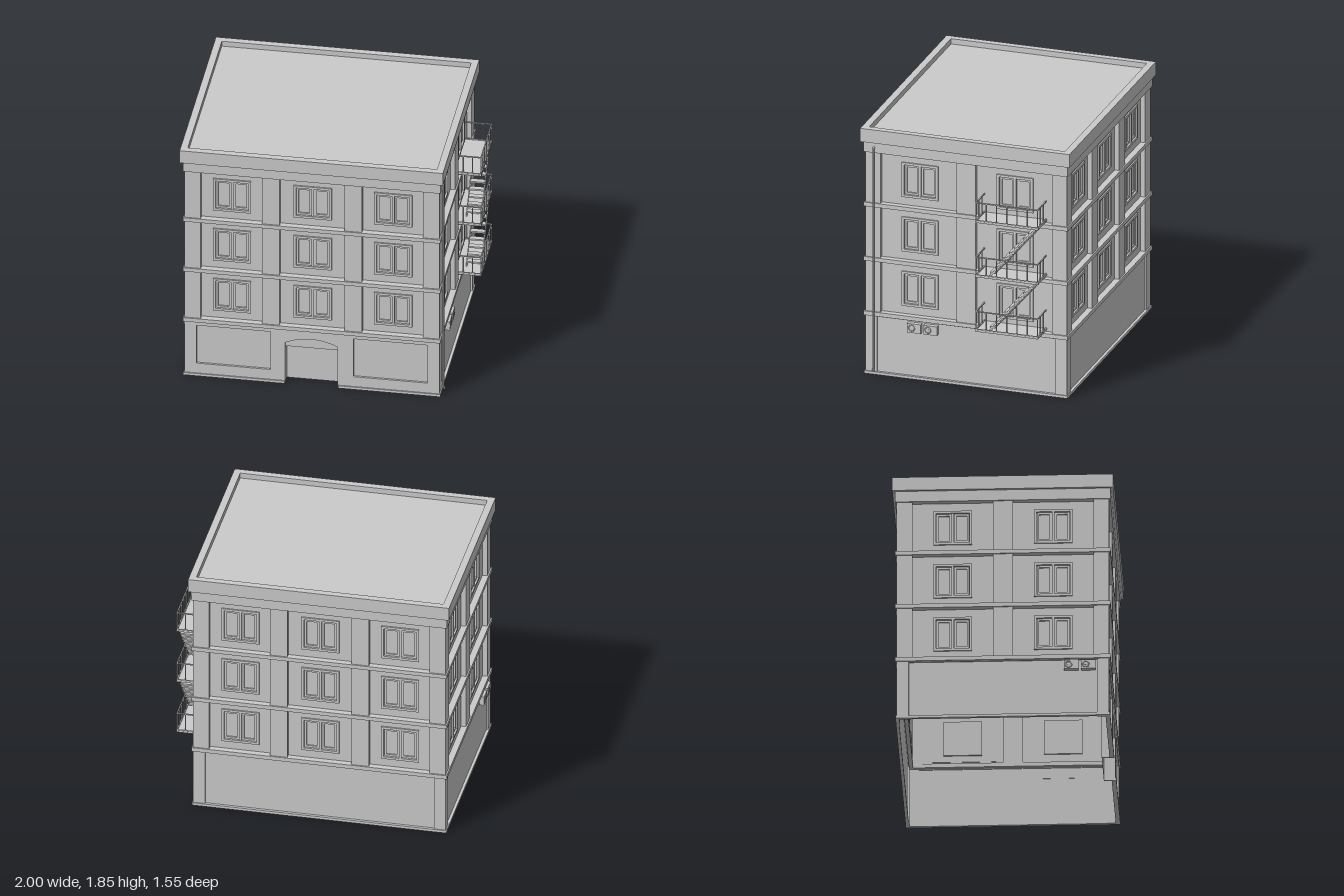
import * as THREE from 'three';

const mat = new THREE.MeshStandardMaterial({ color: 0xcccccc, flatShading: true, side: THREE.DoubleSide });
const CX = -0.065, HW = 0.905, HD = 0.745; // building centre and half sizes
const FLOORS = [0.47, 0.88, 1.29];

function add(parent, name, geo, x = 0, y = 0, z = 0) {
  const m = new THREE.Mesh(geo, mat);
  m.name = name;
  m.position.set(x, y, z);
  parent.add(m);
  return m;
}

// Box given by its two extreme corners
function block(parent, name, x0, x1, y0, y1, z0, z1) {
  return add(parent, name, new THREE.BoxGeometry(x1 - x0, y1 - y0, z1 - z0),
    (x0 + x1) / 2, (y0 + y1) / 2, (z0 + z1) / 2);
}

// Rod between two points
function rod(parent, name, a, b, t = 0.008) {
  const p = new THREE.Vector3(...a), q = new THREE.Vector3(...b);
  const m = add(parent, name, new THREE.BoxGeometry(t, t, p.distanceTo(q)));
  m.position.copy(p).add(q).multiplyScalar(0.5);
  m.lookAt(q);
  return m;
}

function trace(path, x0, x1, y0, y1) {
  path.moveTo(x0, y0); path.lineTo(x1, y0); path.lineTo(x1, y1); path.lineTo(x0, y1); path.closePath();
  return path;
}
const rect = (...r) => trace(new THREE.Shape(), ...r);
const hole = (...r) => trace(new THREE.Path(), ...r);
const extrude = (shape, depth) => new THREE.ExtrudeGeometry(shape, { depth, bevelEnabled: false, curveSegments: 12 });

// Hollow rectangular band around the building
function band(parent, name, y0, y1, out, inset) {
  const s = rect(-HW - out, HW + out, -HD - out, HD + out);
  s.holes.push(hole(-HW + inset, HW - inset, -HD + inset, HD - inset));
  add(parent, name, extrude(s, y1 - y0).rotateX(-Math.PI / 2), CX, y0, 0);
}

// Double casement window, local z = 0 is the wall face
function windowUnit(parent, x, y, w, h) {
  const g = new THREE.Group();
  g.name = 'window';
  g.position.set(x, y, 0);
  const s = rect(-w / 2 - 0.01, w / 2 + 0.01, -h / 2 - 0.01, h / 2 + 0.01);
  s.holes.push(hole(-w / 2 + 0.008, w / 2 - 0.008, -h / 2 + 0.008, h / 2 - 0.008));
  add(g, 'windowFrame', extrude(s, 0.022), 0, 0, -0.012);
  block(g, 'mullion', -0.009, 0.009, -h / 2, h / 2, -0.012, 0.008);
  for (const sx of [-1, 1]) {
    const sash = rect(-w / 4 + 0.01, w / 4 - 0.01, -h / 2 + 0.01, h / 2 - 0.01);
    sash.holes.push(hole(-w / 4 + 0.025, w / 4 - 0.025, -h / 2 + 0.025, h / 2 - 0.025));
    add(g, 'sash', extrude(sash, 0.01), sx * w / 4, 0, -0.012);
  }
  add(g, 'pane', new THREE.PlaneGeometry(w, h), 0, 0, -0.012);
  parent.add(g);
}

// One side of the upper floors: recessed wall, pilasters and windows; faces local +z
function facade(name, half, dist, angle, bays, pilasters, isFront) {
  const g = new THREE.Group();
  g.name = name;
  const zWall = dist - 0.035;
  const wall = rect(-half + 0.035, half - 0.035, 0.45, 1.67);
  for (const y of FLOORS) for (const x of bays) {
    wall.holes.push(hole(x - 0.125, x + 0.125, y + 0.07, y + 0.31));
    windowUnit(g, x, y + 0.19, 0.25, 0.24);
    g.children[g.children.length - 1].position.z = zWall;
  }
  add(g, 'upperWall', new THREE.ShapeGeometry(wall), 0, 0, zWall);
  for (const [a, b] of pilasters) block(g, 'pilaster', a, b, 0.46, 1.68, zWall - 0.01, dist);
  if (!isFront) {
    add(g, 'groundWall', new THREE.PlaneGeometry(2 * half - 0.03, 0.45), 0, 0.225, dist - 0.012);
    block(g, 'groundHeader', -half + 0.08, half - 0.08, 0.435, 0.46, dist - 0.02, dist);
  }
  g.position.x = CX;
  g.rotation.y = angle;
  return g;
}

// Outline of an arched opening
function archPath(path, x0, x1, ySide, rise) {
  path.moveTo(x0, 0); path.lineTo(x0, ySide);
  path.quadraticCurveTo((x0 + x1) / 2, ySide + 2 * rise, x1, ySide);
  path.lineTo(x1, 0);
  return path;
}

function groundFront(root) {
  const g = new THREE.Group();
  g.name = 'groundFront';
  const x0 = -0.26, x1 = 0.12, panels = [[-0.885, -0.36], [0.23, 0.755]];
  const s = archPath(new THREE.Shape(), x0, x1, 0.33, 0.045);
  s.lineTo(CX + HW, 0); s.lineTo(CX + HW, 0.46); s.lineTo(CX - HW, 0.46); s.lineTo(CX - HW, 0);
  for (const [a, b] of panels) {
    s.holes.push(hole(a, b, 0.1, 0.41));
    add(g, 'shopPanel', new THREE.PlaneGeometry(b - a, 0.31), (a + b) / 2, 0.255, HD - 0.015);
  }
  add(g, 'frontWall', extrude(s, 0.025), 0, 0, HD - 0.025);
  // Tympanum behind the arch, then the deeper door niche
  add(g, 'tympanum', extrude(rect(x0, x1, 0.29, 0.42), 0.055), 0, 0, HD - 0.08);
  for (const x of [x0, x1]) block(g, 'doorJamb', x - 0.004, x + 0.004, 0, 0.33, HD - 0.08, HD - 0.002);
  add(g, 'door', new THREE.PlaneGeometry(x1 - x0, 0.3), (x0 + x1) / 2, 0.15, HD - 0.08);
  // Plinth strips on both sides of the door
  block(g, 'plinth', CX - HW - 0.008, x0, 0, 0.02, HD - 0.02, HD + 0.008);
  block(g, 'plinth', x1, CX + HW + 0.008, 0, 0.02, HD - 0.02, HD + 0.008);
  root.add(g);
}

// Wall-mounted cooling unit; side = +1 for the +x wall, -1 for the -x wall
function coolingUnit(root, side, z) {
  const g = new THREE.Group();
  g.name = 'coolingUnit';
  g.position.set(CX + side * HW, 0.388, z);
  g.rotation.y = side * Math.PI / 2;
  block(g, 'casing', -0.05, 0.05, -0.034, 0.034, -0.015, 0.022);
  add(g, 'fanRing', new THREE.TorusGeometry(0.022, 0.004, 6, 16), -0.018, 0, 0.022);
  add(g, 'fanHub', new THREE.CylinderGeometry(0.008, 0.008, 0.004, 10).rotateX(Math.PI / 2), -0.018, 0, 0.023);
  root.add(g);
}

function fireEscape(root) {
  const g = new THREE.Group();
  g.name = 'fireEscape';
  const xi = 0.865, xo = 0.99, zf = -0.125, zb = -0.58;
  FLOORS.forEach((f, i) => {
    const y = f + 0.01, top = y + 0.15;
    block(g, 'landing', 0.8, xo + 0.005, y, y + 0.012, zb - 0.005, zf + 0.005);
    for (const h of [y + 0.015, top]) {
      rod(g, 'rail', [xo, h, zf], [xo, h, zb]);
      for (const z of [zf, zb]) rod(g, 'endRail', [0.8, h, z], [xo, h, z]);
    }
    for (let k = 0; k <= 6; k++) {
      const z = zf + (zb - zf) * k / 6;
      rod(g, 'baluster', [xo, y, z], [xo, top, z], 0.007);
    }
    for (const z of [zf, zb]) for (const x of [xi, 0.93]) rod(g, 'baluster', [x, y, z], [x, top, z], 0.007);
    if (i === 2) return;
    // Flight up to the next landing
    const za = -0.21, zt = -0.56, yt = FLOORS[i + 1] + 0.01;
    for (const x of [0.872, 0.978]) {
      const st = rod(g, 'stringer', [x, y, za], [x, yt, zt], 0.008);
      st.scale.y = 1.5;
    }
    for (let k = 1; k < 10; k++) {
      const t = k / 10, z = za + (zt - za) * t, h = y + (yt - y) * t;
      block(g, 'tread', 0.872, 0.978, h - 0.006, h + 0.006, z - 0.02, z + 0.02);
    }
  });
  root.add(g);
}

export function createModel() {
  const root = new THREE.Group();
  root.name = 'apartmentBuilding';

  // Four sides
  const wide = [[-0.355, -0.23], [0.23, 0.355]], narrow = [[-0.07, 0.07]];
  const wideBays = [-0.572, 0, 0.572], narrowBays = [-0.352, 0.352];
  root.add(facade('frontSide', HW, HD, 0, wideBays, wide, true));
  root.add(facade('backSide', HW, HD, Math.PI, wideBays, wide, false));
  root.add(facade('leftSide', HD, HW, Math.PI / 2, narrowBays, narrow, false));
  root.add(facade('rightSide', HD, HW, -Math.PI / 2, narrowBays, narrow, false));
  groundFront(root);

  // Corner posts, L-shaped so that the inside stays hollow
  for (const sx of [-1, 1]) for (const sz of [-1, 1]) {
    for (const [y0, y1, wx, wz, t] of [[0, 0.46, 0.085, 0.085, 0.02], [0.46, 1.68, 0.115, 0.11, 0.04]]) {
      const s = new THREE.Shape([[0, 0], [wx, 0], [wx, t], [t, t], [t, wz], [0, wz]]
        .map(([a, b]) => new THREE.Vector2(sx * (HW - a), sz * (HD - b))));
      add(root, 'cornerPost', extrude(s, y1 - y0).rotateX(-Math.PI / 2), CX, y0, 0);
    }
  }

  // Plinth on the other three sides
  block(root, 'plinth', CX - HW - 0.008, CX + HW + 0.008, 0, 0.02, -HD - 0.008, -HD + 0.015);
  for (const s of [-1, 1]) {
    add(root, 'plinth', new THREE.BoxGeometry(0.023, 0.02, 2 * HD), CX + s * (HW - 0.0035), 0.01, 0);
  }

  // Ledges, cornice, roof and parapet
  for (const y of FLOORS) band(root, 'ledge', y - 0.03, y, 0.01, 0.045);
  band(root, 'cornice', 1.67, 1.75, 0.01, 0.045);
  band(root, 'parapet', 1.75, 1.85, 0.03, 0.02);
  block(root, 'roof', CX - HW + 0.01, CX + HW - 0.01, 1.77, 1.81, -HD + 0.01, HD - 0.01);

  // Drainpipe with bent ends
  const pipe = new THREE.CurvePath();
  const pts = [[0.82, 1.715], [0.858, 1.715], [0.858, 0.04], [0.868, 0.03]].map(([x, y]) => new THREE.Vector3(x, y, 0.68));
  for (let i = 0; i < 3; i++) pipe.add(new THREE.LineCurve3(pts[i], pts[i + 1]));
  add(root, 'drainpipe', new THREE.TubeGeometry(pipe, 80, 0.009, 8));

  for (const z of [0.38, 0.26]) coolingUnit(root, 1, z);
  for (const z of [0.48, 0.6]) coolingUnit(root, -1, z);
  fireEscape(root);
  return root;
}
